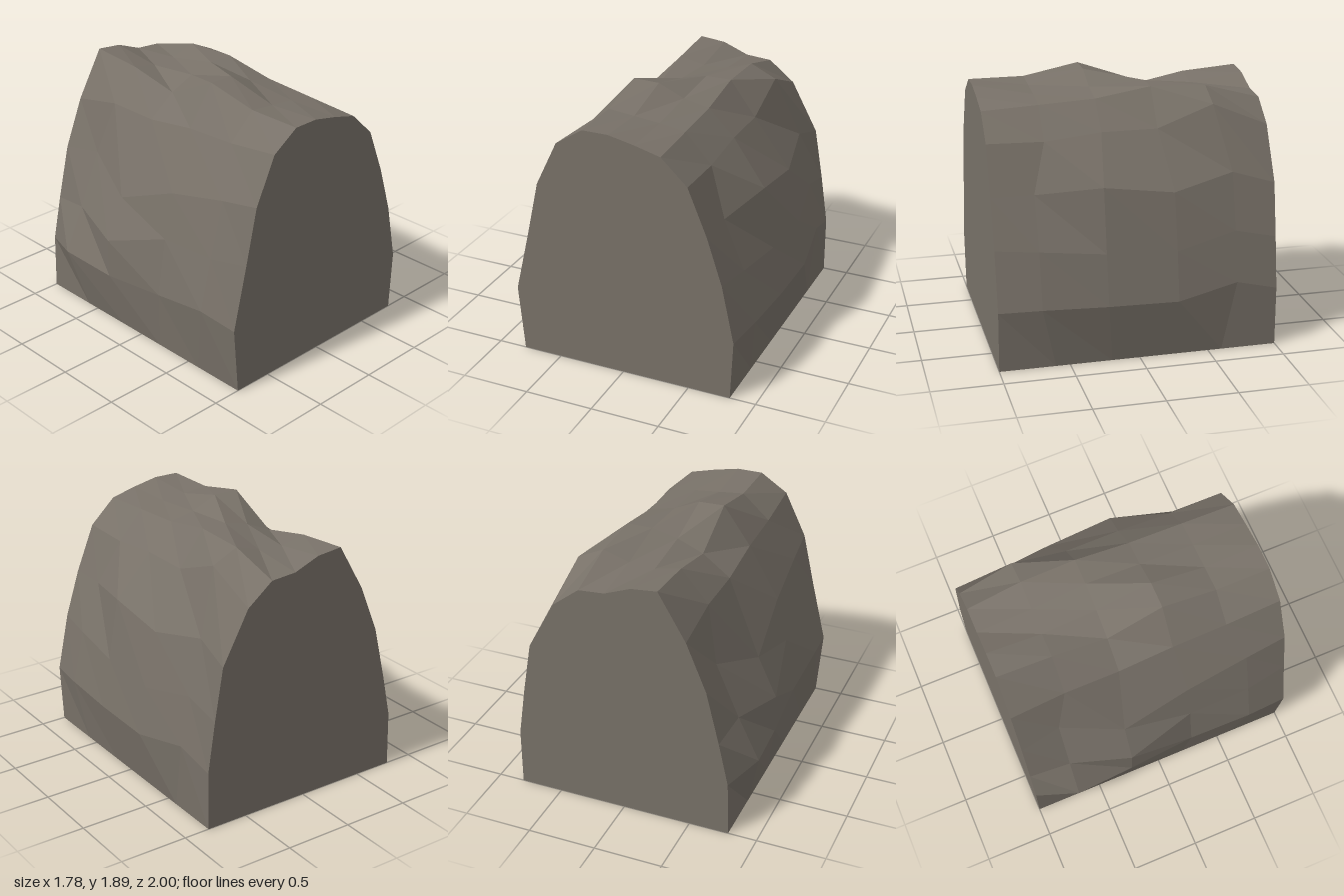
import * as THREE from 'three';

// Stations run from the front (z = 1) to the back (z = -1).
const CREST_Z = [1, 0.6, 0.2, -0.2, -0.6, -1];
const FLANK_Z = [1, 0.7, 0.24, -0.26, -0.7, -1];

// Flank rows, bottom to top: [x, y] at each station.
const LEFT_FLANK = [
  [[0.83, 0.44], [0.87, 0.45], [0.89, 0.44], [0.89, 0.43], [0.83, 0.51], [0.81, 0.43]],
  [[0.74, 0.86], [0.78, 0.84], [0.82, 0.8], [0.83, 0.78], [0.76, 0.87], [0.755, 0.8]],
  [[0.63, 1.2], [0.63, 1.2], [0.74, 1.25], [0.74, 1.18], [0.66, 1.27], [0.69, 1.18]],
];
const RIGHT_FLANK = [
  [[-0.83, 0.49], [-0.855, 0.53], [-0.83, 0.45], [-0.86, 0.41], [-0.895, 0.45], [-0.78, 0.41]],
  [[-0.72, 0.95], [-0.76, 0.9], [-0.76, 0.87], [-0.86, 0.7], [-0.74, 0.77], [-0.71, 0.73]],
  [[-0.63, 1.35], [-0.65, 1.3], [-0.68, 1.2], [-0.72, 1.0], [-0.57, 1.16], [-0.615, 1.12]],
];

// Crest lines: x of each line and its height at each station.
const CREST = [
  [-0.47, [1.68, 1.63, 1.61, 1.55, 1.55, 1.47]],
  [-0.27, [1.81, 1.81, 1.89, 1.7, 1.78, 1.81]],
  [-0.08, [1.81, 1.79, 1.885, 1.78, 1.74, 1.79]],
  [0.11, [1.77, 1.77, 1.8, 1.825, 1.75, 1.715]],
  [0.3, [1.72, 1.74, 1.76, 1.825, 1.81, 1.7]],
  [0.49, [1.54, 1.53, 1.57, 1.57, 1.72, 1.55]],
];

// One arched cross-section, from the -x foot over the crest to the +x foot.
function section(j) {
  const flank = ([x, y]) => new THREE.Vector3(x, y, FLANK_Z[j]);
  return [
    new THREE.Vector3(-0.79, 0, CREST_Z[j]),
    ...RIGHT_FLANK.map((row) => flank(row[j])),
    ...CREST.map(([x, heights]) => new THREE.Vector3(x, heights[j], CREST_Z[j])),
    ...LEFT_FLANK.map((row) => flank(row[j])).reverse(),
    new THREE.Vector3(0.81, 0, CREST_Z[j]),
  ];
}

// Separate triangles give every facet its own flat normal.
function facetMesh(name, points, material) {
  const geometry = new THREE.BufferGeometry().setFromPoints(points);
  geometry.computeVertexNormals();
  const mesh = new THREE.Mesh(geometry, material);
  mesh.name = name;
  return mesh;
}

export function createModel() {
  const group = new THREE.Group();
  group.name = 'rockSegment';
  const stone = new THREE.MeshStandardMaterial({ color: 0x787168, side: THREE.DoubleSide });
  stone.name = 'stone';

  const sections = CREST_Z.map((_, j) => section(j));

  // Rough outer surface, open underneath
  const shell = [];
  for (let j = 0; j < sections.length - 1; j++) {
    for (let k = 0; k < sections[j].length - 1; k++) {
      const a = sections[j][k], b = sections[j][k + 1];
      const c = sections[j + 1][k + 1], d = sections[j + 1][k];
      shell.push(a, b, c, a, c, d);
    }
  }
  group.add(facetMesh('rockSurface', shell, stone));

  // Flat cut ends
  for (const [name, j, front] of [['frontCut', 0, true], ['backCut', 5, false]]) {
    const ring = sections[j];
    const centre = new THREE.Vector3(0, 0, CREST_Z[j]);
    const fan = [];
    for (let k = 0; k < ring.length - 1; k++) {
      fan.push(centre, ...(front ? [ring[k + 1], ring[k]] : [ring[k], ring[k + 1]]));
    }
    group.add(facetMesh(name, fan, stone));
  }
  return group;
}
